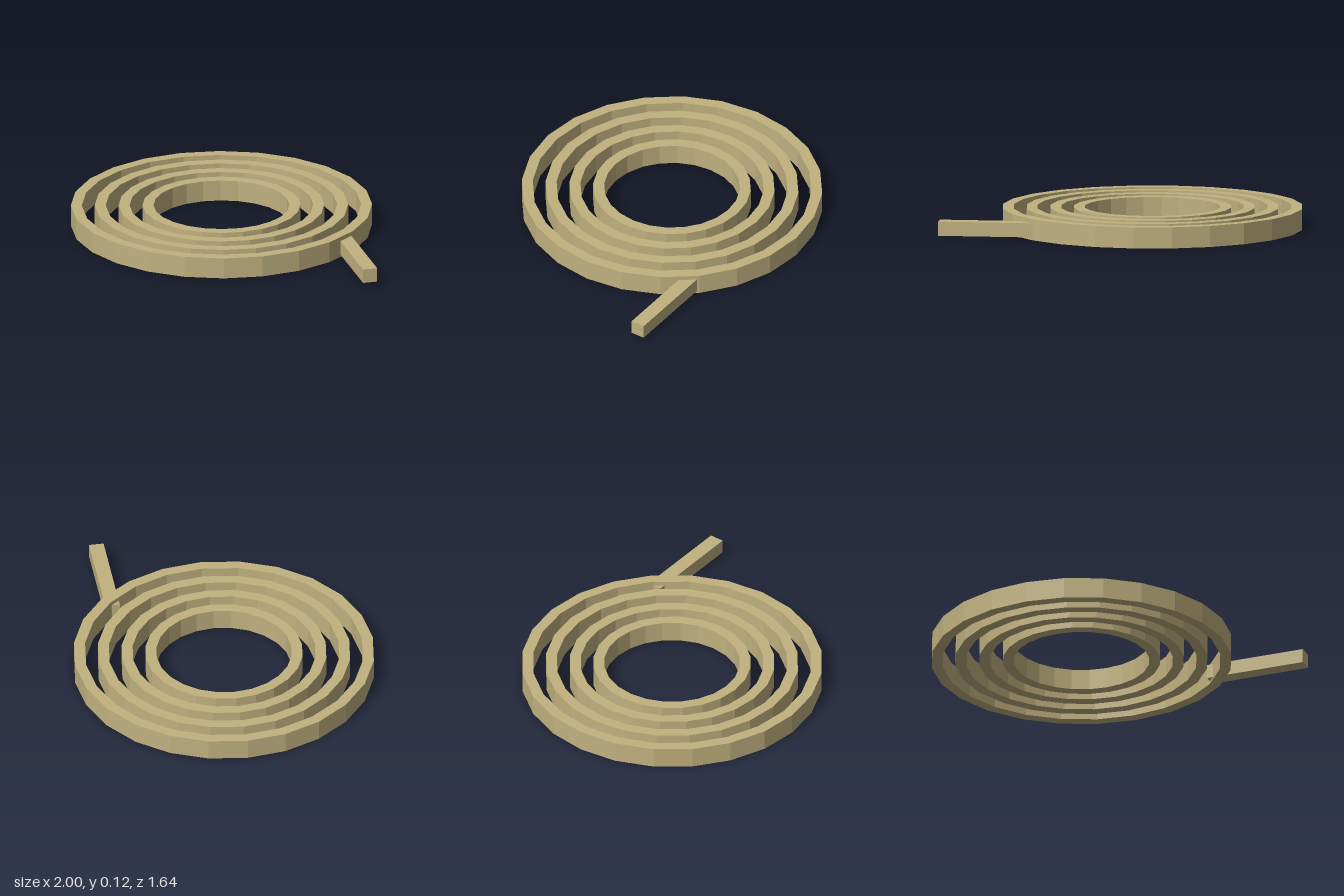
import * as THREE from 'three';

export function createModel() {
  const group = new THREE.Group();
  const material = new THREE.MeshStandardMaterial({ color: 0xc2b280, flatShading: true });

  const centreX = -0.18, height = 0.116, band = 0.06;

  // Concentric flat-sided rings, each a closed rectangular section turned in 24 steps
  [0.82, 0.69, 0.56, 0.43].forEach((outer, i) => {
    const inner = outer - band;
    const section = [
      [outer, 0], [outer, height], [inner, height], [inner, 0], [outer, 0],
    ].map(([r, y]) => new THREE.Vector2(r, y));
    const ring = new THREE.Mesh(new THREE.LatheGeometry(section, 24), material);
    ring.name = `ring${i + 1}`;
    ring.position.x = centreX;
    group.add(ring);
  });

  // Straight handle passing through the outer ring at 45 degrees
  const handle = new THREE.Mesh(new THREE.BoxGeometry(0.56, 0.078, 0.08), material);
  handle.name = 'handle';
  handle.position.set(0.774, 0.053, 0.208);
  handle.rotation.y = -Math.PI / 4;
  group.add(handle);

  return group;
}
